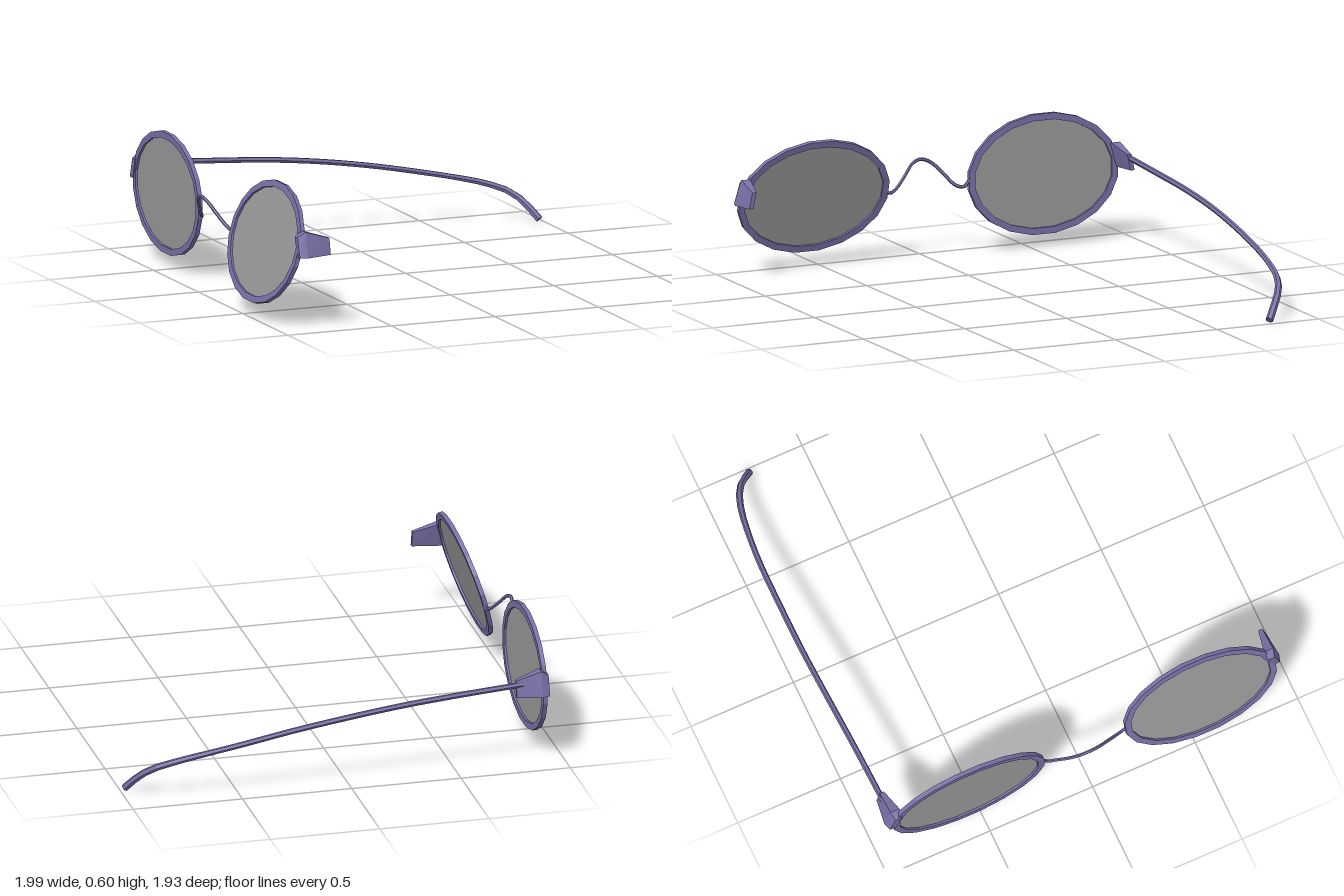
import * as THREE from 'three';

const frameMat = new THREE.MeshStandardMaterial({ color: 0x7a70a8, flatShading: true, side: THREE.DoubleSide });
const lensMat = new THREE.MeshStandardMaterial({ color: 0x999999, side: THREE.DoubleSide });
const SIDES = 20;

// Corners of a many-sided oval with a flat top
function oval(rx, ry) {
  return Array.from({ length: SIDES }, (_, i) => {
    const a = ((i + 0.5) / SIDES) * Math.PI * 2;
    return new THREE.Vector2(rx * Math.cos(a), ry * Math.sin(a));
  });
}

function add(parent, name, geometry, material) {
  const mesh = new THREE.Mesh(geometry, material);
  mesh.name = name;
  parent.add(mesh);
  return mesh;
}

function tube(points, segments, radius, sides) {
  const curve = new THREE.CatmullRomCurve3(points.map((p) => new THREE.Vector3(...p)));
  const geo = new THREE.TubeGeometry(curve, segments, radius, sides);
  return { geo, curve };
}

// Rim ring and lens disc, facing along x
function eyepiece(name) {
  const group = new THREE.Group();
  group.name = name;
  const ring = new THREE.Shape(oval(0.37, 0.276));
  ring.holes.push(new THREE.Path(oval(0.34, 0.246)));
  const rim = new THREE.ExtrudeGeometry(ring, { depth: 0.02, bevelEnabled: false });
  rim.translate(0, 0, -0.01).rotateY(Math.PI / 2);
  add(group, 'rim', rim, frameMat);
  const lens = new THREE.ShapeGeometry(new THREE.Shape(oval(0.345, 0.251)));
  lens.rotateY(Math.PI / 2);
  add(group, 'lens', lens, lensMat);
  return group;
}

// Tapered hinge block lofted along x; s is the side it sits on
function hinge(s) {
  // x, bottom y, top y, bottom z, top z, half thickness
  const sections = [
    [-0.92, 0.33, 0.42, 0.935, 0.908, 0.016],
    [-0.885, 0.33, 0.443, 0.94, 0.91, 0.022],
    [-0.77, 0.335, 0.408, 0.938, 0.922, 0.01],
  ];
  const pos = [];
  for (const [x, y0, y1, z0, z1, t] of sections) {
    pos.push(x, y0, s * (z0 - t), x, y0, s * (z0 + t), x, y1, s * (z1 + t), x, y1, s * (z1 - t));
  }
  const index = [];
  const quad = (a, b, c, d) => (s > 0 ? index.push(a, b, c, a, c, d) : index.push(a, c, b, a, d, c));
  for (let k = 0; k < sections.length - 1; k++) {
    for (let i = 0; i < 4; i++) {
      const j = (i + 1) % 4;
      quad(k * 4 + i, k * 4 + 4 + i, k * 4 + 4 + j, k * 4 + j);
    }
  }
  quad(0, 1, 2, 3);
  const e = (sections.length - 1) * 4;
  quad(e + 3, e + 2, e + 1, e);
  const geo = new THREE.BufferGeometry();
  geo.setAttribute('position', new THREE.Float32BufferAttribute(pos, 3));
  geo.setIndex(index);
  const flat = geo.toNonIndexed();
  flat.computeVertexNormals();
  return flat;
}

export function createModel() {
  const model = new THREE.Group();
  model.name = 'spectacles';

  // Upright eyepiece, and the bent one leaning on the other side
  const upright = eyepiece('uprightEyepiece');
  upright.position.set(-0.905, 0.33, -0.562);
  const bent = eyepiece('bentEyepiece');
  bent.position.set(-0.917, 0.331, 0.562);
  bent.rotation.z = -THREE.MathUtils.degToRad(16);
  model.add(upright, bent);

  // Wire bridge, arched up and forward
  const bridge = tube([
    [-0.905, 0.335, -0.2], [-0.909, 0.305, -0.175], [-0.922, 0.313, -0.14], [-0.957, 0.37, -0.09],
    [-0.979, 0.415, -0.045], [-0.985, 0.432, 0], [-0.977, 0.418, 0.045], [-0.953, 0.37, 0.095],
    [-0.928, 0.322, 0.15], [-0.916, 0.308, 0.185], [-0.914, 0.318, 0.205],
  ], 32, 0.008, 6);
  add(model, 'bridge', bridge.geo, frameMat);

  add(model, 'hingeRight', hinge(-1), frameMat);
  add(model, 'hingeLeft', hinge(1), frameMat);

  // The one remaining temple arm, curling down and in at the ear
  const arm = tube([
    [-0.8, 0.39, -0.93], [-0.5, 0.37, -0.937], [-0.25, 0.35, -0.945], [0, 0.32, -0.95],
    [0.25, 0.28, -0.946], [0.5, 0.23, -0.936], [0.65, 0.198, -0.92], [0.78, 0.165, -0.897],
    [0.88, 0.125, -0.86], [0.93, 0.08, -0.82], [0.978, 0.012, -0.768],
  ], 28, 0.013, 6);
  // Thicken the ear end a little
  const p = arm.geo.attributes.position;
  const ring = 7;
  const c = new THREE.Vector3();
  const v = new THREE.Vector3();
  for (let i = 0; i < p.count; i++) {
    const u = Math.floor(i / ring) / 28;
    arm.curve.getPointAt(u, c);
    v.fromBufferAttribute(p, i).sub(c).multiplyScalar(1 + 0.35 * Math.max(0, (u - 0.75) / 0.25)).add(c);
    p.setXYZ(i, v.x, Math.max(0, v.y), v.z);
  }
  add(model, 'templeArm', arm.geo, frameMat);

  // Cap closing the ear end
  const cap = new THREE.CircleGeometry(0.0175, 6);
  const capMesh = add(model, 'templeTip', cap, frameMat);
  const end = arm.curve.getPointAt(1);
  capMesh.position.copy(end);
  capMesh.quaternion.setFromUnitVectors(new THREE.Vector3(0, 0, 1), arm.curve.getTangentAt(1));
  return model;
}
